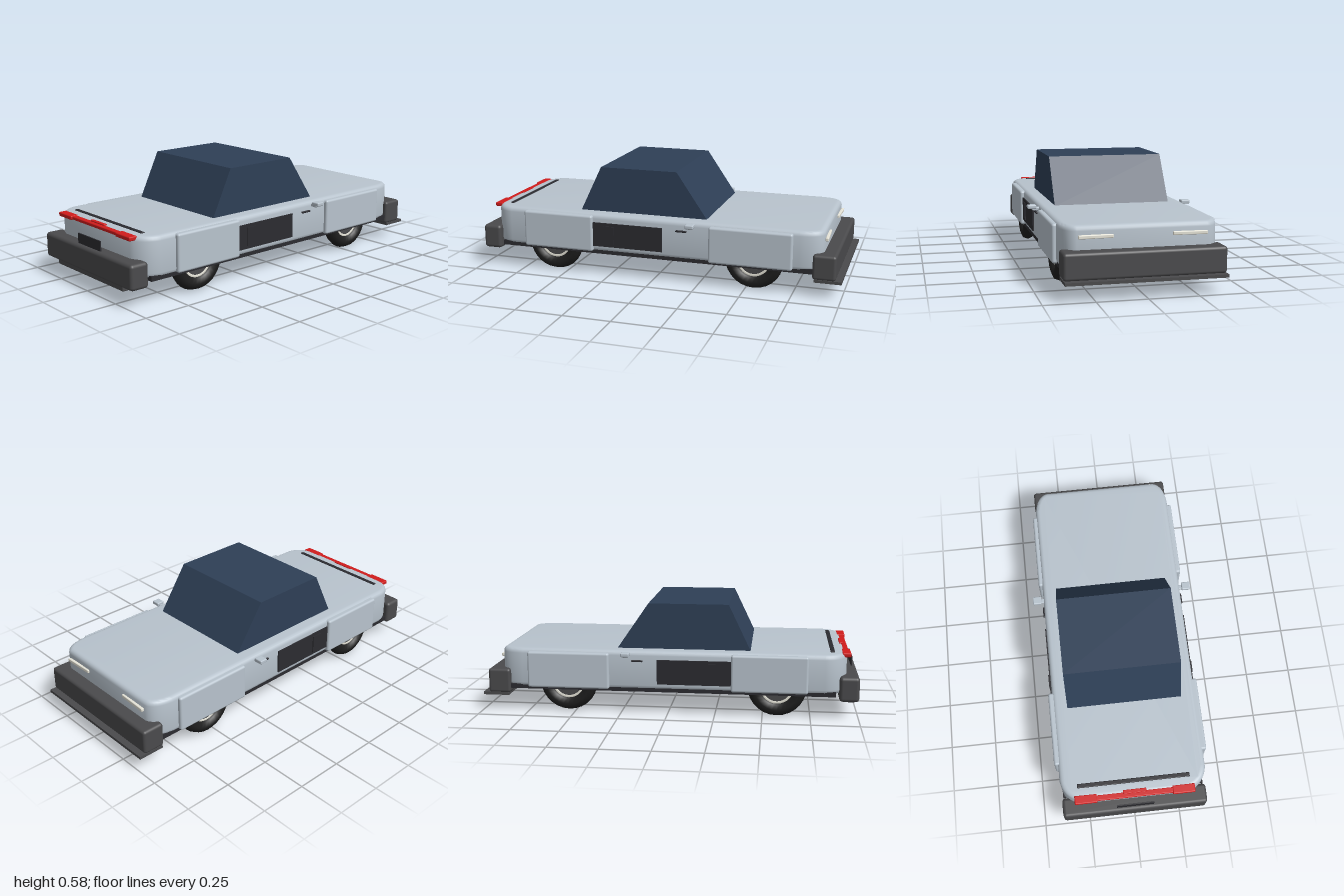
import * as THREE from 'three';
import { toCreasedNormals } from 'three/addons/utils/BufferGeometryUtils.js';
import { RoundedBoxGeometry } from 'three/addons/geometries/RoundedBoxGeometry.js';

const mat = (color) => new THREE.MeshStandardMaterial({ color });

export function createModel() {
  const car = new THREE.Group();
  car.name = 'car';
  const paint = mat(0xb8c3cd), glass = mat(0x2e3f56), rubber = mat(0x1e1e1e);
  const plastic = mat(0x4a4a4c), dark = mat(0x2b2b30), red = mat(0xd01c1c), lamp = mat(0xe6e4d8);

  function add(name, geometry, material) {
    const mesh = new THREE.Mesh(geometry, material);
    mesh.name = name;
    car.add(mesh);
    return mesh;
  }
  // Box given by its extents, with optional rounded edges
  function block(name, material, [x0, x1], [y0, y1], [z0, z1], radius = 0) {
    const size = [x1 - x0, y1 - y0, z1 - z0];
    const g = radius ? new RoundedBoxGeometry(...size, 3, radius) : new THREE.BoxGeometry(...size);
    g.translate((x0 + x1) / 2, (y0 + y1) / 2, (z0 + z1) / 2);
    return add(name, g, material);
  }

  // Body: rounded plan outline, bevelled along the top and bottom edges
  const bevel = 0.025;
  const w = 0.39 - bevel, rear = 0.935 - bevel, nose = 0.9 - bevel;
  const plan = new THREE.Shape();
  plan.moveTo(-w, -0.78);
  plan.lineTo(-w, rear - 0.09);
  plan.quadraticCurveTo(-w + 0.01, rear - 0.02, -w + 0.08, rear);
  plan.lineTo(w - 0.08, rear);
  plan.quadraticCurveTo(w - 0.01, rear - 0.02, w, rear - 0.09);
  plan.lineTo(w, -0.78);
  plan.quadraticCurveTo(w - 0.01, -nose + 0.01, w - 0.05, -nose);
  plan.lineTo(-w + 0.05, -nose);
  plan.quadraticCurveTo(-w + 0.01, -nose + 0.01, -w, -0.78);
  const body = new THREE.ExtrudeGeometry(plan, {
    depth: 0.21 - 2 * bevel, bevelThickness: bevel, bevelSize: bevel, bevelSegments: 4, curveSegments: 8,
  });
  body.rotateX(Math.PI / 2).translate(0, 0.34 - bevel, 0);
  add('body', toCreasedNormals(body, 0.6), paint);
  block('underbody', dark, [-0.385, 0.385], [0.12, 0.145], [-0.86, 0.88]);

  // Cabin: sloped side profile extruded across the width
  const profile = new THREE.Shape([[-0.435, 0.335], [0.28, 0.335], [0.11, 0.583], [-0.315, 0.583]]
    .map(([a, b]) => new THREE.Vector2(a, b)));
  const cabin = new THREE.ExtrudeGeometry(profile, { depth: 0.624, bevelEnabled: false });
  cabin.translate(0, 0, -0.312).rotateY(Math.PI / 2);
  add('cabin', cabin, glass);

  // Bumpers, with the thin lips below them
  block('tailBumper', plastic, [-0.39, 0.39], [0.095, 0.226], [0.897, 1], 0.018);
  block('tailLip', plastic, [-0.295, 0.295], [0.07, 0.1], [0.945, 0.985], 0.006);
  block('noseBumper', plastic, [-0.397, 0.397], [0.095, 0.226], [-0.97, -0.85], 0.015);
  block('noseSplitter', plastic, [-0.395, 0.395], [0.082, 0.097], [-1, -0.86]);

  // Tail details
  block('plate', dark, [-0.1, 0.1], [0.19, 0.278], [0.972, 0.979]);
  block('tailLightBar', red, [-0.3, 0.3], [0.321, 0.339], [0.918, 0.948], 0.005);
  block('brakeLight', red, [-0.062, 0.062], [0.332, 0.345], [0.908, 0.928], 0.003);
  block('deckVent', dark, [-0.3, 0.3], [0.334, 0.344], [0.85, 0.873], 0.004);

  for (const side of [1, -1]) {
    const span = (a, b) => (side > 0 ? [a, b] : [-b, -a]);
    const label = side > 0 ? 'left' : 'right';
    block(label + 'TailLight', red, span(0.2, 0.32), [0.319, 0.341], [0.91, 0.956], 0.006);
    const headlight = block(label + 'Headlight', lamp, span(-0.085, 0.085), [0.279, 0.297], [-0.006, 0.01], 0.004);
    headlight.position.set(side * 0.23, 0, -0.907);
    headlight.rotation.y = side * 0.04;

    // Fender panels
    block(label + 'TailFender', paint, span(0.365, 0.411), [0.135, 0.333], [0.335, 0.735], 0.012);
    block(label + 'NoseFender', paint, span(0.365, 0.411), [0.133, 0.327], [-0.75, -0.31], 0.012);

    // Door panel, vent, handle and mirror
    block(label + 'DoorPanel', dark, span(0.385, 0.397), [0.165, 0.296], [-0.055, 0.34]);
    block(label + 'DoorVent', dark, span(0.39, 0.403), [0.18, 0.28], [0.215, 0.275]);
    block(label + 'DoorHandle', dark, span(0.385, 0.4), [0.283, 0.292], [-0.19, -0.13], 0.003);
    block(label + 'MirrorArm', paint, span(0.375, 0.425), [0.308, 0.326], [-0.23, -0.205], 0.005);
    block(label + 'MirrorHead', paint, span(0.402, 0.45), [0.318, 0.339], [-0.24, -0.195], 0.006);

    // Wheels: low-sided tyre, pale rim ring and dark hub
    for (const [end, z] of [['Tail', 0.575], ['Nose', -0.54]]) {
      const wheel = new THREE.Group();
      wheel.name = label + end + 'Wheel';
      wheel.position.set(side * 0.34, 0.156, z);
      wheel.rotation.y = Math.PI / 2;
      const tyre = new THREE.Mesh(new THREE.TorusGeometry(0.118, 0.037, 8, 28), rubber);
      tyre.name = 'tyre';
      const rim = new THREE.Mesh(new THREE.TorusGeometry(0.082, 0.018, 8, 28), lamp);
      rim.name = 'rim';
      const hub = new THREE.Mesh(new THREE.CylinderGeometry(0.075, 0.075, 0.03, 24).rotateX(Math.PI / 2), plastic);
      hub.name = 'hub';
      wheel.add(tyre, rim, hub);
      car.add(wheel);
    }
  }
  return car;
}
